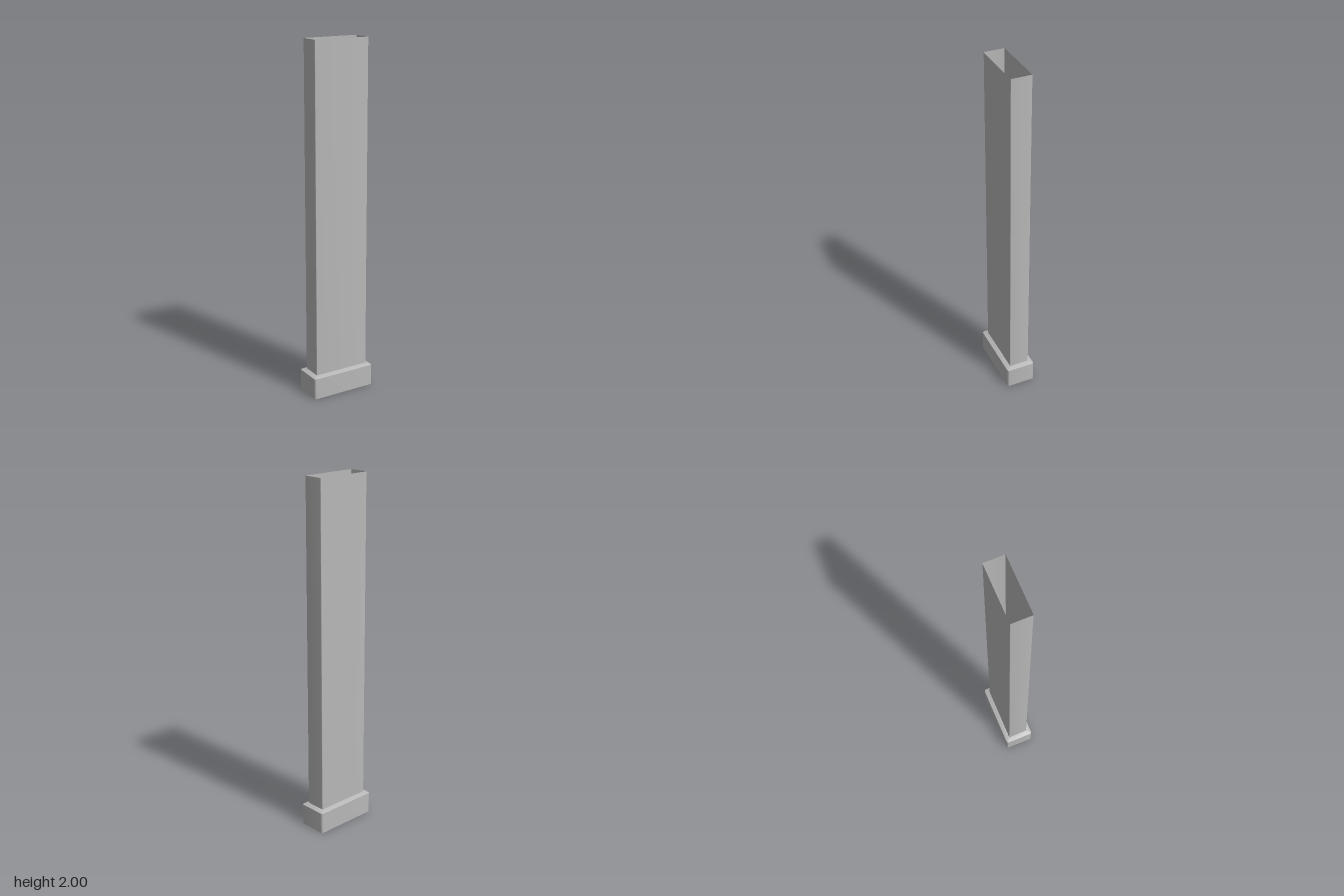
import * as THREE from 'three';
import { toCreasedNormals } from 'three/addons/utils/BufferGeometryUtils.js';

// Rounded rectangle cross-section at height y
function ring(halfX, halfZ, radius, y, steps = 4) {
  const points = [];
  [[1, 1], [-1, 1], [-1, -1], [1, -1]].forEach(([sx, sz], corner) => {
    for (let i = 0; i <= steps; i++) {
      const a = (corner + i / steps) * Math.PI / 2;
      points.push([
        sx * (halfX - radius) + radius * Math.cos(a), y,
        sz * (halfZ - radius) + radius * Math.sin(a),
      ]);
    }
  });
  return points;
}

// Open wall joining a lower and an upper ring
function wall(lower, upper) {
  const n = lower.length, index = [];
  for (let i = 0; i < n; i++) {
    const j = (i + 1) % n;
    index.push(i, n + i, n + j, i, n + j, j);
  }
  const geometry = new THREE.BufferGeometry();
  geometry.setAttribute('position', new THREE.Float32BufferAttribute([...lower, ...upper].flat(), 3));
  geometry.setIndex(index);
  return toCreasedNormals(geometry, 0.5);
}

export function createModel() {
  const group = new THREE.Group();
  group.name = 'rectangularDuct';
  const metal = new THREE.MeshStandardMaterial({ color: 0xb8b8b8, side: THREE.DoubleSide });
  metal.name = 'grey metal';

  const collarBottom = ring(0.191, 0.084, 0.012, 0);
  const collarTop = ring(0.191, 0.084, 0.012, 0.122);
  const ductBottom = ring(0.164, 0.058, 0.003, 0.132);
  const ductTop = ring(0.164, 0.058, 0.003, 2);

  // Wide collar, sloping shoulder and long duct, open at both ends
  for (const [name, lower, upper] of [
    ['collar', collarBottom, collarTop],
    ['shoulder', collarTop, ductBottom],
    ['duct', ductBottom, ductTop],
  ]) {
    const mesh = new THREE.Mesh(wall(lower, upper), metal);
    mesh.name = name;
    group.add(mesh);
  }
  return group;
}
